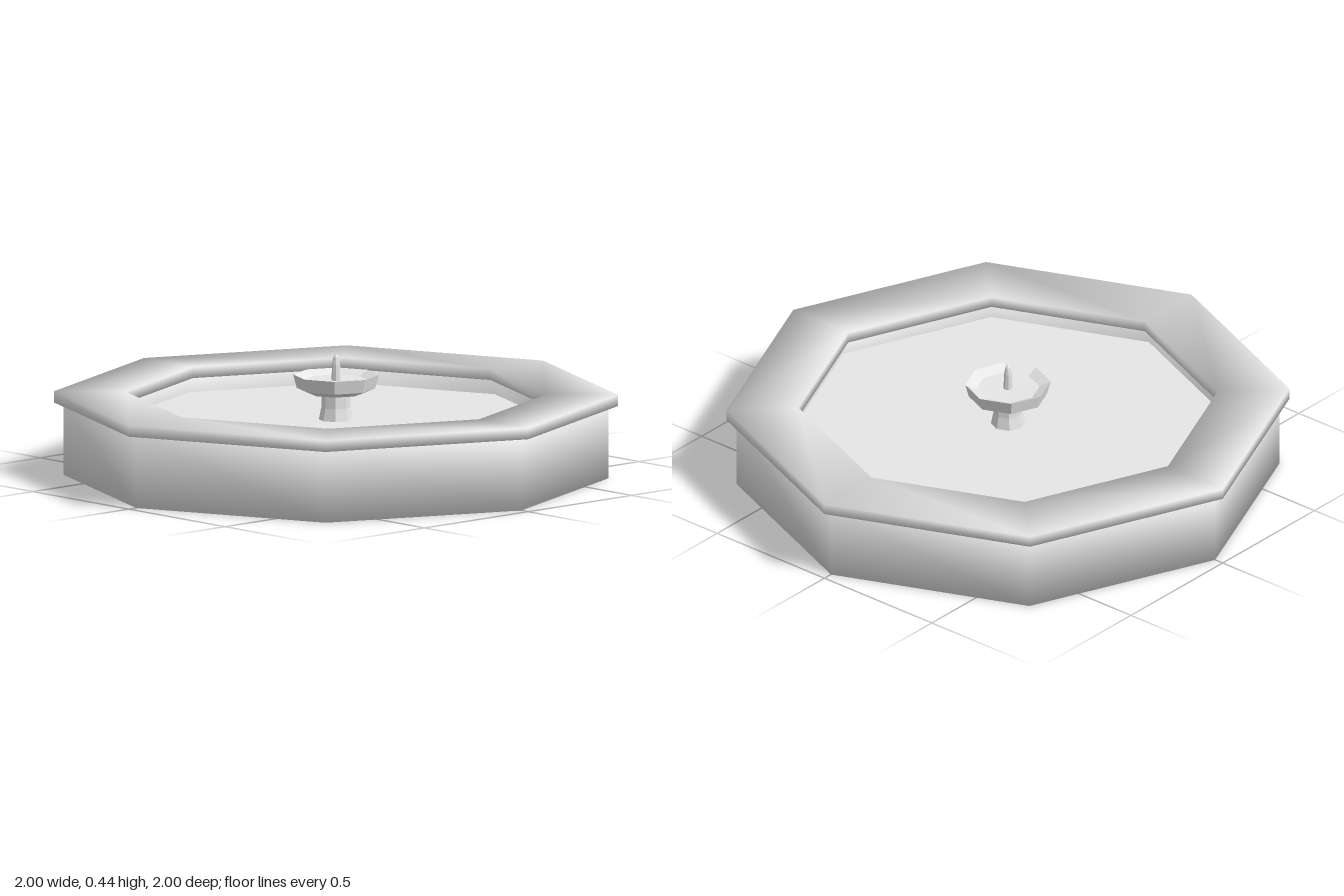
import * as THREE from 'three';

const SIDES = 8;

// Octagonal solid turned from a profile that runs up the outside
function turned(profile) {
  return new THREE.LatheGeometry(profile.map(([r, y]) => new THREE.Vector2(r, y)), SIDES);
}

// Closed ring of rectangular section, with normals shared around every corner
function softRing(inner, outer, bottom, top) {
  const ring = turned([[outer, bottom], [outer, top], [inner, top], [inner, bottom], [outer, bottom]]);
  const { position, normal } = ring.attributes;
  const n = new THREE.Vector3();
  for (let i = 0; i < position.count; i++) {
    n.fromBufferAttribute(position, i).setY(0);
    const outward = n.length() > (inner + outer) / 2 ? 1 : -1;
    const upward = position.getY(i) > (bottom + top) / 2 ? 1 : -1;
    n.normalize().multiplyScalar(outward).setY(0.8 * upward).normalize();
    normal.setXYZ(i, n.x, n.y, n.z);
  }
  return ring;
}

// Faceted copy of a turned profile
function faceted(profile) {
  const geometry = turned(profile).toNonIndexed();
  geometry.computeVertexNormals();
  return geometry;
}

export function createModel() {
  const model = new THREE.Group();
  model.name = 'fountain';

  const stone = new THREE.MeshStandardMaterial({ color: 0xe7e7e7 });
  stone.name = 'pale stone';

  const add = (name, geometry) => {
    const mesh = new THREE.Mesh(geometry, stone);
    mesh.name = name;
    model.add(mesh);
  };

  // Basin: wall, overhanging lip and the slab that fills the middle
  add('basinWall', softRing(0.775, 0.965, 0, 0.26));
  add('basinLip', softRing(0.745, 1, 0.26, 0.3));
  add('basinFloor', faceted([[0, 0.025], [0.768, 0.025], [0.768, 0.206], [0, 0.206]]));

  // Pedestal flaring towards its foot
  add('pedestal', faceted([[0.061, 0.206], [0.052, 0.25], [0.05, 0.3]]));

  // Bowl with a shallow dished top
  add('bowl', faceted([
    [0, 0.3], [0.096, 0.3], [0.139, 0.318], [0.152, 0.366], [0.112, 0.348], [0, 0.346],
  ]));

  // Spout with a pointed tip
  add('spout', faceted([[0.016, 0.346], [0.014, 0.405], [0.009, 0.43], [0, 0.442]]));

  return model;
}
